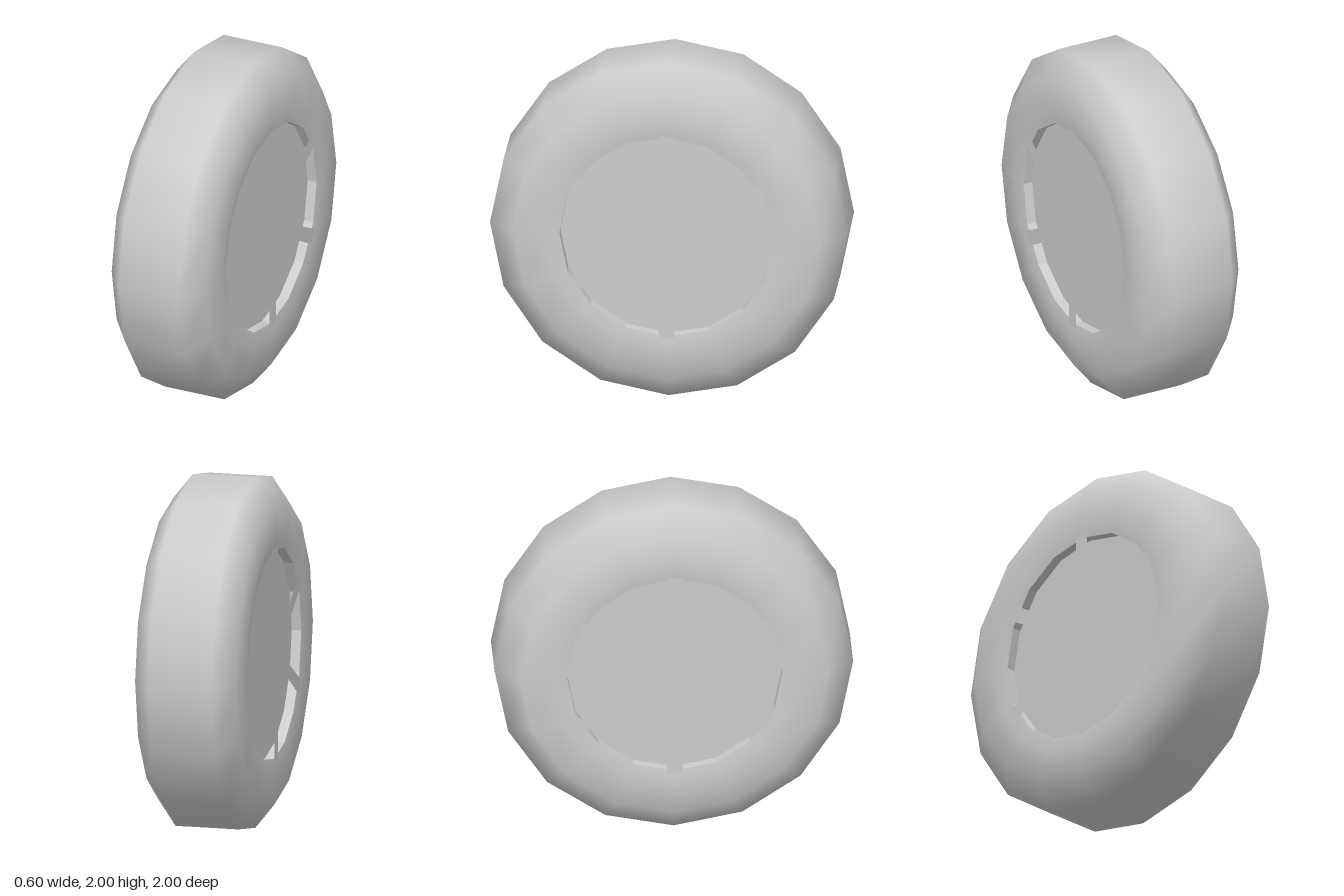
import * as THREE from 'three';

const SEGMENTS = 16;
const HOLE_RADIUS = 0.6;
const HOLE_X = 0.29; // where the sidewall meets the rim
const DISC_X = 0.235; // recessed wheel disc
const SPOKE_X = 0.3;

const v2 = (r, x) => new THREE.Vector2(r, x);

// Lathe whose axis runs along x
function latheX(points) {
  return new THREE.LatheGeometry(points, SEGMENTS).rotateZ(-Math.PI / 2);
}

// Six tapering spokes joined by a hub, as one flat outline
function spokeShape() {
  const points = [];
  for (let i = 0; i < 6; i++) {
    const a = Math.PI / 6 + (i * Math.PI) / 3;
    const c = Math.cos(a), s = Math.sin(a);
    for (const [r, w] of [[0.171, -0.036], [0.61, -0.044], [0.61, 0.044], [0.171, 0.036]]) {
      points.push(v2(r * c - w * s, r * s + w * c));
    }
  }
  return new THREE.Shape(points);
}

export function createModel() {
  const grey = new THREE.MeshStandardMaterial({ color: 0xcccccc });
  grey.name = 'light grey';

  const wheel = new THREE.Group();
  wheel.name = 'wheel';
  const add = (parent, name, geometry) => {
    const mesh = new THREE.Mesh(geometry, grey);
    mesh.name = name;
    parent.add(mesh);
    return mesh;
  };

  // Tyre: sidewall, shoulder and tread, smooth all the way round
  const half = [v2(HOLE_RADIUS, HOLE_X), v2(0.68, 0.3), v2(0.86, 0.29), v2(1, 0.18)];
  const profile = [...half.map((p) => v2(p.x, -p.y)), ...half.slice().reverse()];
  add(wheel, 'tyre', latheX(profile));

  // Both faces of the wheel are alike
  for (const [name, turn] of [['leftFace', 0], ['rightFace', Math.PI]]) {
    const face = new THREE.Group();
    face.name = name;
    face.rotation.y = turn;

    // Faceted inner wall of the rim
    const wall = latheX([v2(HOLE_RADIUS, HOLE_X), v2(HOLE_RADIUS, DISC_X)]).toNonIndexed();
    wall.computeVertexNormals();
    add(face, 'rimWall', wall);

    const disc = new THREE.CircleGeometry(HOLE_RADIUS, SEGMENTS).rotateY(Math.PI / 2);
    add(face, 'wheelDisc', disc).position.x = DISC_X;

    const spokes = new THREE.ShapeGeometry(spokeShape()).rotateY(Math.PI / 2);
    add(face, 'spokes', spokes).position.x = SPOKE_X;
    wheel.add(face);
  }

  wheel.position.y = 1;
  const model = new THREE.Group();
  model.name = 'wheelModel';
  model.add(wheel);
  return model;
}
